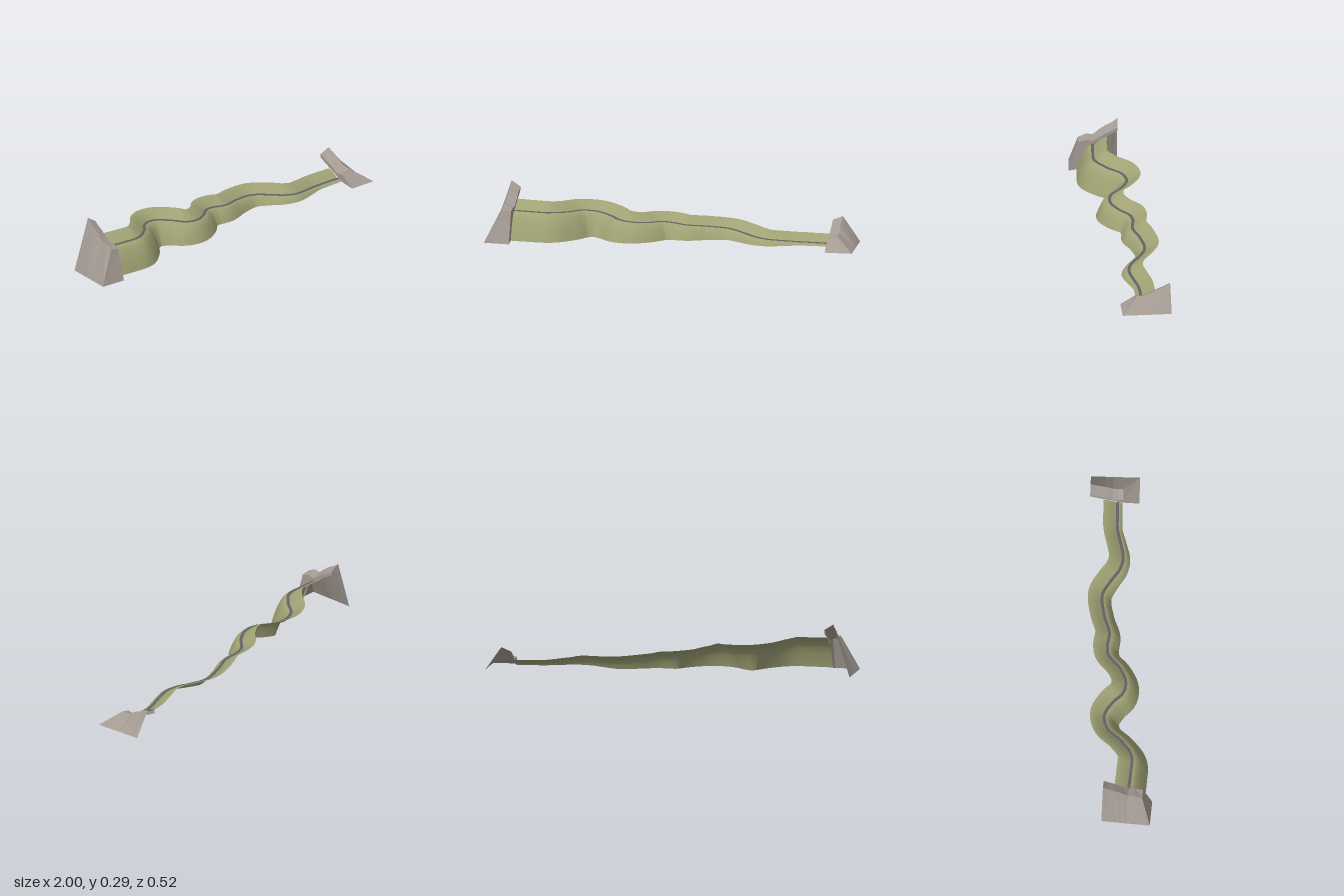
import * as THREE from 'three';

const mat = (name, color, side = THREE.DoubleSide) => {
  const m = new THREE.MeshStandardMaterial({ color, side });
  m.name = name;
  return m;
};
const grass = mat('olive grass', 0xa0a274);
const stone = mat('warm grey stone', 0xa39a92);
const gravel = mat('dark gravel', 0x646466);

// Centre line of the winding path, as x, z pairs
const route = [
  [-0.86, 0.13], [-0.76, 0.132], [-0.66, 0.125], [-0.58, 0.06], [-0.515, -0.02], [-0.44, -0.045],
  [-0.36, -0.01], [-0.29, 0.045], [-0.22, 0.05], [-0.14, 0.005], [-0.08, -0.055],
  [-0.03, -0.07], [0.06, -0.067], [0.16, -0.105], [0.28, -0.128], [0.37, -0.09],
  [0.44, -0.05], [0.51, -0.037], [0.6, -0.06], [0.68, -0.085], [0.76, -0.094], [0.84, -0.1],
];
const curve = new THREE.CatmullRomCurve3(route.map(([x, z]) => new THREE.Vector3(x, 0, z)));

// Path height by x: a steady descent that levels out at the low end
const heights = [[-0.86, 0.157], [-0.65, 0.155], [-0.4, 0.13], [0, 0.088], [0.4, 0.05], [0.68, 0.023], [0.84, 0.02]];
function pathHeight(x) {
  for (let i = 1; i < heights.length; i++) {
    const [x0, y0] = heights[i - 1], [x1, y1] = heights[i];
    if (x <= x1) return THREE.MathUtils.mapLinear(x, x0, x1, y0, y1);
  }
  return heights[heights.length - 1][1];
}

// Sweep a cross-section along the route; section(h, t) gives [offset to the front, y] pairs
function sweep(name, material, section, steps = 180) {
  const pos = [], idx = [];
  let n = 0;
  for (let i = 0; i <= steps; i++) {
    const t = i / steps;
    const p = curve.getPointAt(t), d = curve.getTangentAt(t);
    const pts = section(pathHeight(p.x), t);
    n = pts.length;
    for (const [o, y] of pts) pos.push(p.x - d.z * o, y, p.z + d.x * o);
  }
  for (let i = 0; i < steps; i++) {
    for (let j = 0; j < n - 1; j++) {
      const a = i * n + j, b = a + n;
      idx.push(a, a + 1, b, b, a + 1, b + 1);
    }
  }
  const g = new THREE.BufferGeometry();
  g.setAttribute('position', new THREE.Float32BufferAttribute(pos, 3));
  g.setIndex(idx);
  g.computeVertexNormals();
  const mesh = new THREE.Mesh(g, material);
  mesh.name = name;
  return mesh;
}

const HALF = 0.008; // half width of the path
const parts = [0, 1, 2, 3, 4, 5, 6, 7, 8].map(i => i / 8);

// Embankment falling to the ground in front, rounded over at the top
const frontSection = h => {
  const w = 0.088 * Math.pow(h / 0.157, 0.6);
  return parts.map(s => [HALF + (w - HALF) * s, h - (h - 0.01) * Math.pow(s, 1.8)]);
};
// Bank rising behind the path
const backSection = (h, t) => {
  const rise = 0.047 - 0.012 * t;
  return parts.map(s => [-(HALF + (0.077 - HALF) * (1 - s)), h + rise * Math.sin((1 - s) * 1.3) / Math.sin(1.3)]);
};
// Thin slab for the path
const pathSection = h => [[-HALF, h - 0.003], [-HALF, h + 0.002], [HALF, h + 0.002], [HALF, h - 0.003], [-HALF, h - 0.003]];

// Open stone shell; u runs outward from the mouth, v to the front.
// Rows from front to back: v, ridge y, lip top y, lip bottom y
function portal(name, rows, { depth, ridge, frontV }, place) {
  const pos = [];
  const quad = (a, b, c, d) => {
    for (const p of [a, b, c, a, c, d]) pos.push(...place(...p));
  };
  const strips = rows.map(([v, r, l, b], i) => [
    [depth, 0, i === 0 ? frontV : v], [ridge, r, v], [0, l, v], [0, b, v],
  ]);
  for (let i = 1; i < strips.length; i++) {
    for (let k = 0; k < 3; k++) {
      const A = strips[i - 1], B = strips[i];
      quad(A[k], A[k + 1], B[k + 1], B[k]);
    }
  }
  // Sloping front and the narrow wall beside the embankment
  const [outer, top, lip, low] = strips[0];
  const inner = [0, 0, frontV];
  quad(outer, inner, lip, top);
  quad(inner, low, lip, lip);
  const g = new THREE.BufferGeometry();
  g.setAttribute('position', new THREE.Float32BufferAttribute(pos, 3));
  g.computeVertexNormals();
  const mesh = new THREE.Mesh(g, stone);
  mesh.name = name;
  return mesh;
}

export function createModel() {
  const group = new THREE.Group();
  group.name = 'windingHillPath';
  group.add(
    sweep('frontEmbankment', grass, frontSection),
    sweep('rearBank', grass, backSection),
    sweep('path', gravel, pathSection),
  );

  // High end
  group.add(portal('highPortal', [
    [0.08, 0.18, 0.172, 0.01],
    [0.035, 0.2, 0.183, 0.13],
    [0, 0.195, 0.177, 0.157],
    [-0.035, 0.225, 0.2, 0.18],
    [-0.07, 0.25, 0.223, 0.203],
    [-0.105, 0.267, 0.24, 0.22],
    [-0.135, 0.29, 0.258, 0.238],
  ], { depth: 0.14, ridge: 0.05, frontV: 0.13 },
  (u, y, v) => [-0.86 - u, y, 0.13 + v]));

  // Low end, turned slightly
  group.add(portal('lowPortal', [
    [0.03, 0.07, 0.055, 0.01],
    [0, 0.072, 0.047, 0.022],
    [-0.025, 0.075, 0.055, 0.035],
    [-0.07, 0.1, 0.078, 0.055],
    [-0.11, 0.116, 0.095, 0.073],
    [-0.15, 0.138, 0.115, 0.093],
  ], { depth: 0.15, ridge: 0.055, frontV: 0.117 },
  (u, y, v) => [0.842 + u + 0.07 * v, y, -0.1 + v - 0.07 * u]));

  return group;
}
